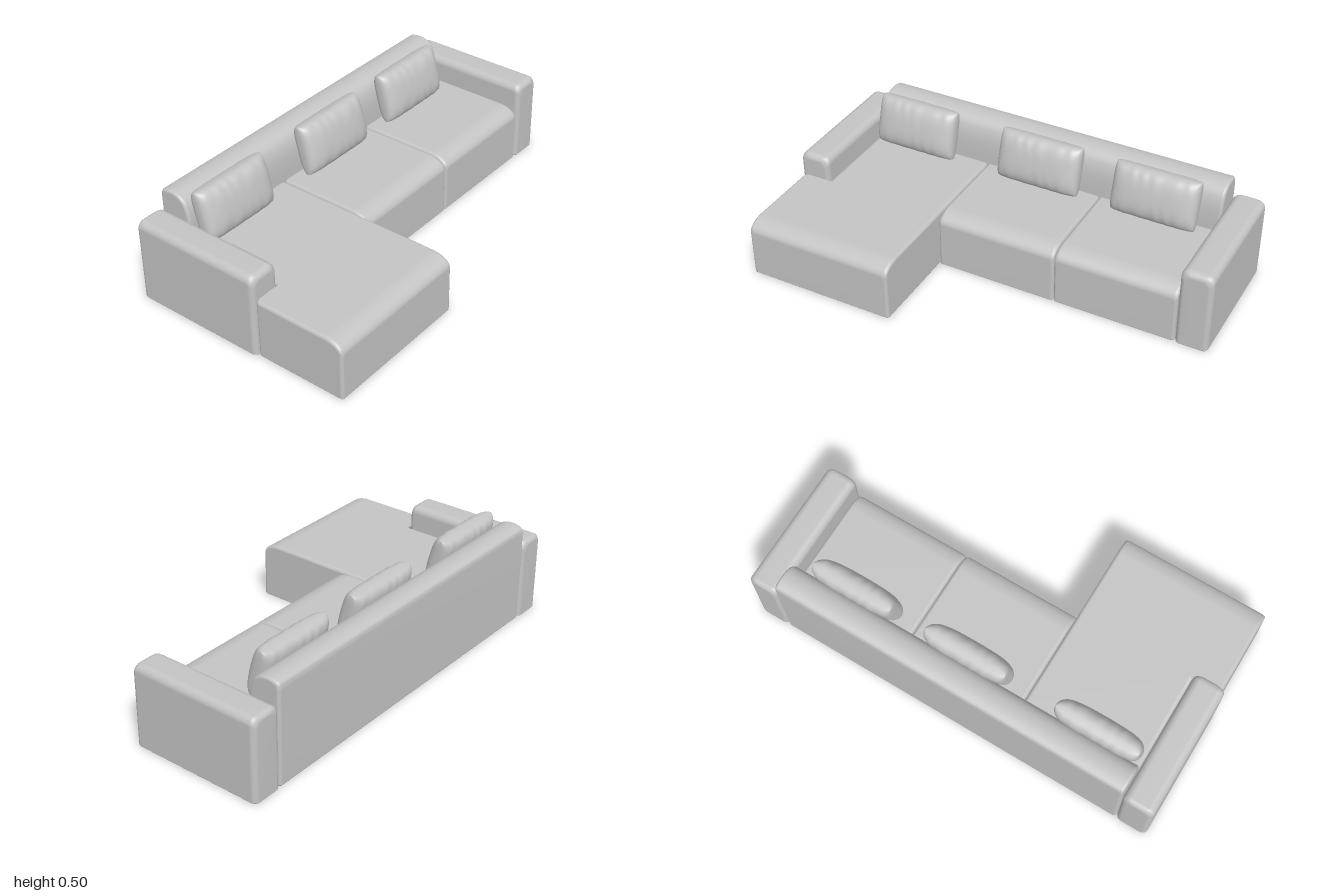
import * as THREE from 'three';
import { mergeGeometries, mergeVertices } from 'three/addons/utils/BufferGeometryUtils.js';

// Fall-off of a rounded edge at distance d from the end (radius r, depth h)
const drop = (d, r, h) => (d >= r ? 0 : h * (1 - Math.sqrt(1 - (1 - d / r) ** 2)));

// Distances at which a rounded end needs cross-sections
const steps = (r, n = 7) => Array.from({ length: n + 1 }, (_, i) => r * (1 - Math.cos((i / n) * Math.PI / 2)));

// Rounded rectangle, counter-clockwise, as [x, y] points
function roundedRect(x0, x1, y0, y1, rTop, rBottom) {
  const points = [];
  const corners = [[x1, y0, rBottom, -1, 1], [x1, y1, rTop, -1, -1], [x0, y1, rTop, 1, -1], [x0, y0, rBottom, 1, 1]];
  corners.forEach(([x, y, r, sx, sy], c) => {
    for (let i = 0; i <= 6; i++) {
      const a = (c - 1 + i / 6) * Math.PI / 2;
      points.push([x + sx * r + r * Math.cos(a), y + sy * r + r * Math.sin(a)]);
    }
  });
  return points;
}

// Smooth skin of counter-clockwise cross-sections stacked along +z, closed at both ends
function loft(sections) {
  const n = sections[0].points.length;
  const positions = [];
  const index = [];
  for (const { z, points } of sections) for (const [x, y] of points) positions.push(x, y, z);
  for (let s = 0; s < sections.length - 1; s++) {
    for (let i = 0; i < n; i++) {
      const a = s * n + i, b = s * n + (i + 1) % n;
      index.push(a, b, b + n, a, b + n, a + n);
    }
  }
  for (const s of [0, sections.length - 1]) {
    const { z, points } = sections[s];
    const centre = positions.length / 3;
    positions.push(points.reduce((t, p) => t + p[0], 0) / n, points.reduce((t, p) => t + p[1], 0) / n, z);
    for (let i = 0; i < n; i++) {
      const a = s * n + i, b = s * n + (i + 1) % n;
      if (s) index.push(centre, a, b);
      else index.push(centre, b, a);
    }
  }
  const geometry = new THREE.BufferGeometry();
  geometry.setAttribute('position', new THREE.Float32BufferAttribute(positions, 3));
  geometry.setIndex(index);
  geometry.computeVertexNormals();
  return geometry;
}

// Upholstered block with a soft front top edge; notch moves its right side out in front of z = notch.z
function block({ x0, x1, h, z0, z1, edge, topEdge, frontDepth, frontDrop, notch }) {
  const zs = [...steps(edge).map(d => z0 + d), ...steps(frontDepth, 10).map(d => z1 - d), ...steps(edge).map(d => z1 - d)];
  if (notch) zs.push(notch.z - 0.0005, ...steps(edge).map(d => notch.z + d));
  const sorted = [...new Set(zs.map(z => +z.toFixed(5)))].sort((a, b) => a - b);
  return loft(sorted.map(z => {
    const front = Math.max(0, z1 - z), back = Math.max(0, z - z0);
    const side = drop(front, edge, edge) + drop(back, edge, edge);
    const top = drop(front, frontDepth, frontDrop) + drop(back, edge, edge);
    let left = x0;
    if (notch && z >= notch.z) left = notch.x + drop(Math.max(0, z - notch.z), edge, edge);
    const bottom = 0.003 + drop(front, 0.006, 0.005);
    return { z, points: roundedRect(left + side, x1 - side, bottom, h - top, topEdge, 0.005) };
  }));
}

// Backrest: domed profile in (depth, height), swept along x with softened ends
function backrestGeometry(x0, x1) {
  const curve = new THREE.CatmullRomCurve3([
    [-0.53, 0.44], [-0.524, 0.463], [-0.5, 0.474], [-0.465, 0.477], [-0.43, 0.469],
    [-0.402, 0.448], [-0.386, 0.415], [-0.377, 0.37], [-0.373, 0.3],
  ].map(([z, y]) => new THREE.Vector3(z, y, 0)));
  const profile = [[-0.526, 0.003], [-0.53, 0.01], ...curve.getPoints(32).map(p => [p.x, p.y]), [-0.373, 0.01], [-0.377, 0.003]];
  const r = 0.014;
  const xs = [...steps(r).map(d => x0 + d), ...steps(r).reverse().map(d => x1 - d)];
  return loft(xs.map(x => {
    const inset = drop(Math.max(0, Math.min(x - x0, x1 - x)), r, r);
    const points = profile.map(([z, y]) => [0.45 - (z + 0.45) * (1 - inset / 0.08), y * (1 - inset / 0.477)]);
    return { z: x, points };
  })).rotateY(Math.PI / 2);
}

// Plump throw pillow, fuller in front, with gathered folds at its upper and lower seams
function pillowGeometry(width, height, thickness) {
  const sheet = sign => {
    const g = new THREE.PlaneGeometry(2, 2, 64, 36);
    const p = g.attributes.position;
    for (let i = 0; i < p.count; i++) {
      const u = Math.sin(p.getX(i) * Math.PI / 2) * sign, v = Math.sin(p.getY(i) * Math.PI / 2);
      const full = Math.pow(Math.max(0, (1 - u ** 6) * (1 - v ** 4)), 0.36);
      const belly = sign > 0 ? 1 + 0.22 * (1 - v * v) * (1 - 0.7 * u * u) : 1;
      const fold = Math.sin(u * 19 + 1.5 * Math.sin(u * 5 + v * 2)) * Math.abs(v) ** 1.5 * (1 - u ** 8);
      const x = u * width / 2 * (1 - 0.018 * v ** 8);
      const y = v * height / 2 * (1 - 0.018 * u ** 8);
      p.setXYZ(i, x, y, sign * full * (thickness / 2 * belly + 0.0025 * fold));
    }
    g.deleteAttribute('uv');
    g.deleteAttribute('normal');
    return g;
  };
  const g = mergeVertices(mergeGeometries([sheet(1), sheet(-1)]), 1e-5);
  g.computeVertexNormals();
  return g;
}

export function createModel() {
  const fabric = new THREE.MeshStandardMaterial({ color: 0xc4c4c4 });
  fabric.name = 'light grey fabric';
  const sofa = new THREE.Group();
  sofa.name = 'sectionalSofa';
  const add = (name, geometry) => {
    const mesh = new THREE.Mesh(geometry, fabric);
    mesh.name = name;
    sofa.add(mesh);
    return mesh;
  };

  // Seats and the long chaise, which widens in front of the right arm
  const seat = { h: 0.275, z0: -0.37, edge: 0.014, topEdge: 0.016, frontDepth: 0.09, frontDrop: 0.055 };
  add('chaise', block({ ...seat, x0: -0.848, x1: -0.286, z1: 0.532, notch: { x: -0.984, z: 0.102 } }));
  add('middleSeat', block({ ...seat, x0: -0.284, x1: 0.28, z1: 0.096 }));
  add('leftSeat', block({ ...seat, x0: 0.282, x1: 0.846, z1: 0.096 }));

  // Arms
  const arm = { h: 0.385, z0: -0.532, z1: 0.1, edge: 0.024, topEdge: 0.034, frontDepth: 0.034, frontDrop: 0.028 };
  add('rightArm', block({ ...arm, x0: -0.998, x1: -0.852 }));
  add('leftArm', block({ ...arm, x0: 0.849, x1: 0.995 }));

  // Backrest
  add('backrest', backrestGeometry(-0.85, 0.847));

  // Pillows leaning on the backrest
  const pillow = pillowGeometry(0.398, 0.231, 0.105);
  for (const [name, x] of [['rightPillow', -0.632], ['middlePillow', 0], ['leftPillow', 0.559]]) {
    const mesh = add(name, pillow);
    mesh.position.set(x, 0.39, -0.333);
    mesh.rotation.x = -0.26;
  }
  return sofa;
}
